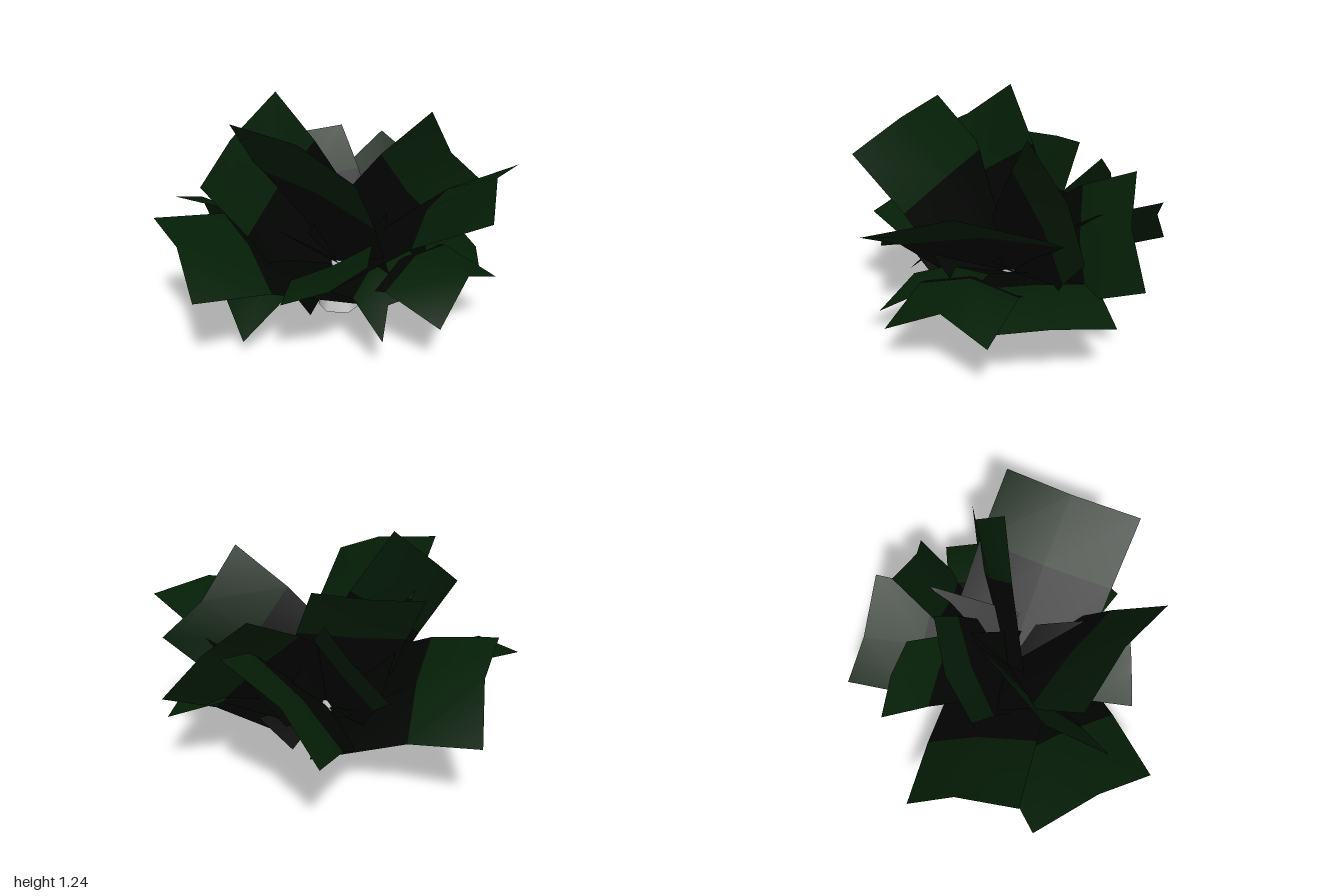
import * as THREE from 'three';

// Point where every leaf is attached
const CORE = new THREE.Vector3(0, 0.25, -0.1);

// Outer edge of each leaf: corner, middle, corner
const LEAVES = [
  // upright leaves
  [[-0.24, 1.15, 0.51], [0.16, 1.10, 0.49], [0.52, 0.98, 0.54]],
  [[-0.27, 0.87, 0.70], [-0.36, 1.03, 0.38], [-0.31, 1.24, 0.07]],
  [[-0.53, 0.92, 0.07], [-0.41, 0.95, -0.18], [-0.20, 0.99, -0.40]],
  [[0.40, 1.14, -0.38], [0.42, 0.87, -0.60], [0.58, 0.67, -0.75]],
  [[-0.72, 0.58, -0.42], [-0.53, 0.74, -0.47], [-0.36, 0.87, -0.47]],
  // spreading leaves
  [[0.80, 0.85, -0.65], [0.845, 0.88, -0.25], [0.995, 0.78, 0.13]],
  [[0.30, 0.46, -0.95], [0.13, 0.70, -0.81], [-0.13, 0.90, -0.74]],
  [[-0.64, 0.36, -0.78], [-0.41, 0.58, -0.79], [-0.12, 0.76, -0.89]],
  [[-1.00, 0.33, -0.08], [-0.84, 0.57, 0.15], [-0.71, 0.68, 0.47]],
  [[-0.12, 0.39, 0.94], [-0.40, 0.55, 0.76], [-0.76, 0.58, 0.59]],
  // low leaves
  [[0.17, 0.35, 0.65], [0.36, 0.42, 0.52], [0.50, 0.54, 0.40]],
  [[-0.53, 0.15, 0.38], [-0.30, 0.22, 0.54], [-0.08, 0.07, 0.65]],
  [[0.58, 0.16, 0.38], [0.50, 0.26, 0.20], [0.62, 0.28, -0.10]],
  [[0.79, 0.21, 0.19], [0.78, 0.37, -0.13], [0.82, 0.28, -0.40]],
  [[0.41, 0.30, -0.86], [0.60, 0.33, -0.62], [0.75, 0.30, -0.35]],
];

// A 2 x 2 sheet: outer edge, arched middle row, and a base edge through the core
function leafGeometry(edge) {
  const tip = edge.map((p) => new THREE.Vector3(...p));
  const half = tip[2].clone().sub(tip[0]).multiplyScalar(0.5);
  const reach = tip[1].clone().sub(CORE).normalize().multiplyScalar(0.09);
  // low leaves arch more
  reach.y += Math.max(0.04, 0.19 - 0.25 * tip[1].y);
  const geo = new THREE.PlaneGeometry(1, 1, 2, 2);
  const pos = geo.attributes.position;
  for (let i = 0; i < 3; i++) {
    const base = CORE.clone().addScaledVector(half, i - 1);
    const middle = base.clone().lerp(tip[i], 0.5).add(reach);
    [tip[i], middle, base].forEach((p, row) => pos.setXYZ(row * 3 + i, p.x, p.y, p.z));
  }
  geo.computeVertexNormals();
  // green outer half, dark inner half
  geo.addGroup(0, 12, 0);
  geo.addGroup(12, 12, 1);
  return geo;
}

export function createModel() {
  const model = new THREE.Group();
  model.name = 'leafyPlant';

  // Open, tapered six-sided stem
  const stem = new THREE.Mesh(
    new THREE.CylinderGeometry(0.055, 0.12, 0.3, 6, 1, true),
    new THREE.MeshStandardMaterial({ color: 0xcccccc, side: THREE.DoubleSide })
  );
  stem.name = 'stem';
  stem.position.set(0, 0.15, -0.09);
  model.add(stem);

  // Leaves
  const leafMaterials = [0x041e06, 0x010301].map(
    (color) => new THREE.MeshStandardMaterial({ color, side: THREE.DoubleSide })
  );
  const leaves = new THREE.Group();
  leaves.name = 'leaves';
  LEAVES.forEach((edge, i) => {
    const leaf = new THREE.Mesh(leafGeometry(edge), leafMaterials);
    leaf.name = `leaf${i + 1}`;
    leaves.add(leaf);
  });
  model.add(leaves);

  return model;
}
